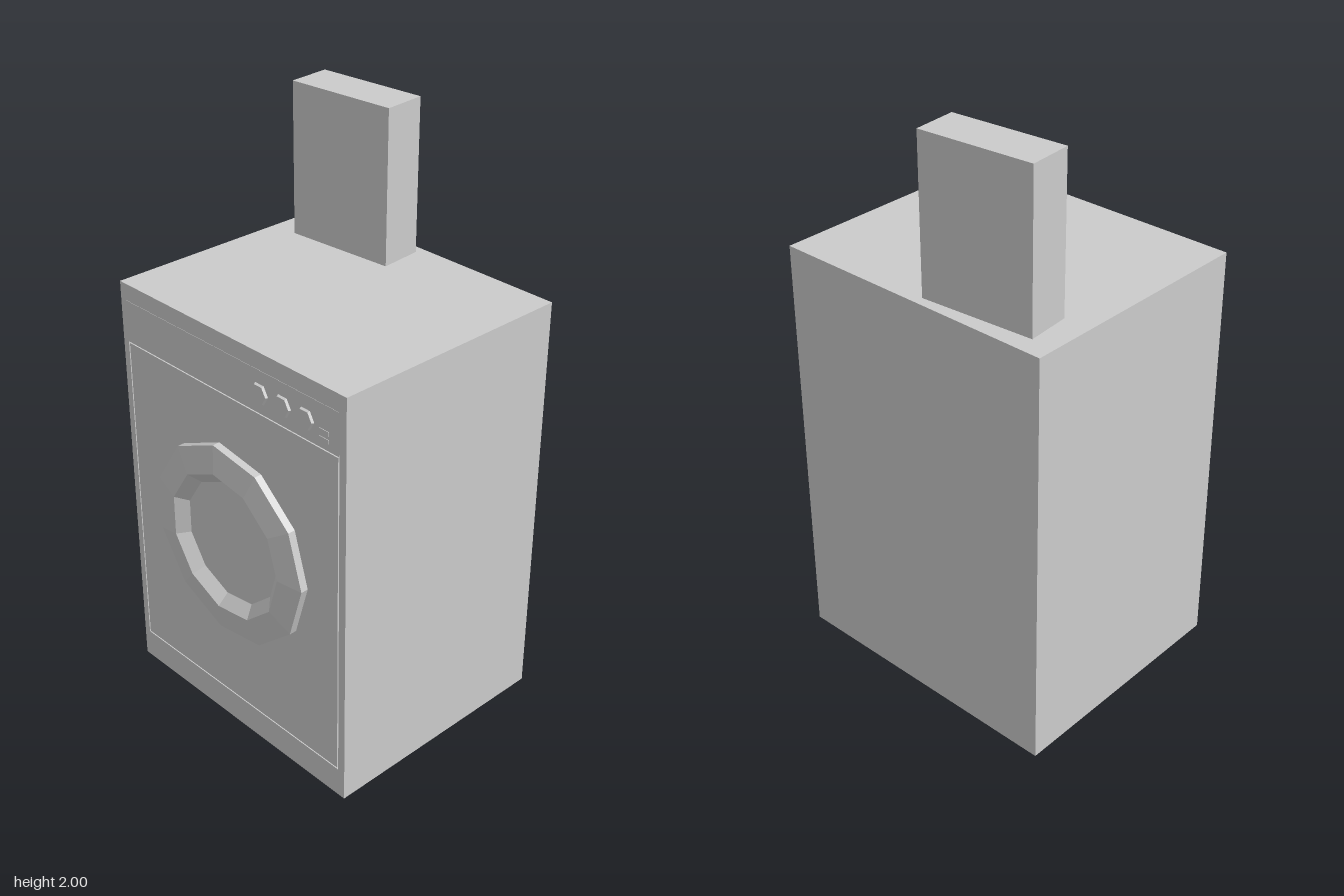
import * as THREE from 'three';

const FRONT = 0.415;
const BACK = -0.455;
const GROOVE = 0.008;

export function createModel() {
  const model = new THREE.Group();
  const mat = new THREE.MeshStandardMaterial({ color: 0xcccccc, flatShading: true });

  const add = (name, geometry, x, y, z) => {
    const mesh = new THREE.Mesh(geometry, mat);
    mesh.name = name;
    mesh.position.set(x, y, z);
    model.add(mesh);
    return mesh;
  };
  // box given by its limits on each axis
  const block = (name, [x0, x1], [y0, y1], [z0, z1]) =>
    add(name, new THREE.BoxGeometry(x1 - x0, y1 - y0, z1 - z0),
      (x0 + x1) / 2, (y0 + y1) / 2, (z0 + z1) / 2);
  const rect = (Type, x0, x1, y0, y1) => new Type([
    new THREE.Vector2(x0, y0), new THREE.Vector2(x1, y0),
    new THREE.Vector2(x1, y1), new THREE.Vector2(x0, y1),
  ]);

  // cabinet, with a front frame that leaves a thin groove round the panel
  block('cabinet', [-0.515, 0.515], [0, 1.475], [BACK, FRONT - GROOVE]);
  const frame = rect(THREE.Shape, -0.515, 0.515, 0, 1.475);
  frame.holes.push(rect(THREE.Path, -0.49, 0.487, 0.105, 1.272));
  add('frontFrame', new THREE.ExtrudeGeometry(frame, { depth: GROOVE, bevelEnabled: false }),
    0, 0, FRONT - GROOVE);
  block('frontPanel', [-0.485, 0.482], [0.11, 1.267], [FRONT - GROOVE, FRONT]);
  block('controlPanel', [-0.49, 0.487], [1.272, 1.417], [FRONT - 0.002, FRONT + 0.001]);

  // eleven-sided door: outer wall, sloping rim, inward slope and flat glass
  const profile = [[0.35, 0], [0.35, 0.026], [0.255, 0.041], [0.215, 0.006], [0, 0.006]]
    .map(([r, h]) => new THREE.Vector2(r, h));
  // a quarter turn puts one corner of the ring on +x
  const door = new THREE.LatheGeometry(profile, 11, Math.PI / 2).rotateX(Math.PI / 2);
  add('door', door, 0, 0.74, FRONT);

  // six-sided knobs
  for (const x of [0.15, 0.25, 0.348]) {
    const knob = new THREE.CylinderGeometry(0.033, 0.037, 0.009, 6, 1, false, Math.PI / 2);
    add('knob', knob.rotateX(Math.PI / 2), x, 1.34, FRONT + 0.0045);
  }
  // two small buttons
  for (const y of [1.303, 1.329])
    block('button', [0.405, 0.445], [y - 0.007, y + 0.007], [FRONT, FRONT + 0.003]);

  // carton standing slightly askew on the top
  const carton = add('carton', new THREE.BoxGeometry(0.4, 0.525, 0.152), -0.225, 1.7375, -0.33);
  carton.rotation.y = 0.082;

  // lathe walls are drawn from both sides
  model.getObjectByName('door').material = mat.clone();
  model.getObjectByName('door').material.side = THREE.DoubleSide;
  return model;
}
